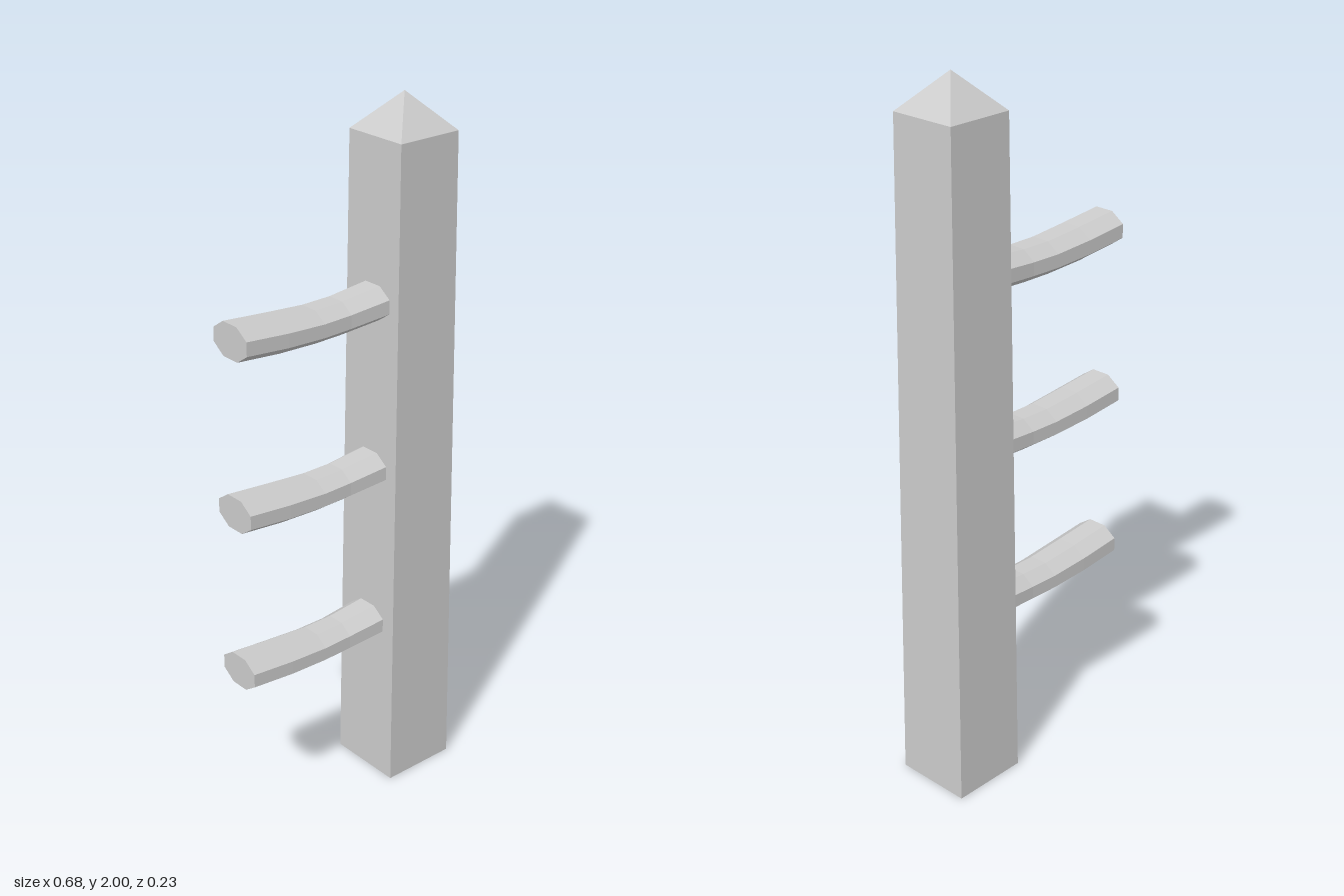
import * as THREE from 'three';

const POST_X = 0.227;

// Lofted eight-sided rail: each station is [x, centre height, half height, half depth]
function railGeometry(stations) {
  const sides = 8, pos = [], idx = [];
  for (const [x, y, h, d] of stations) {
    for (let i = 0; i < sides; i++) {
      const a = ((i + 0.5) / sides) * Math.PI * 2;
      const k = 1 / Math.cos(Math.PI / sides);
      pos.push(x, y + Math.sin(a) * h * k, Math.cos(a) * d * k);
    }
  }
  for (let s = 0; s < stations.length - 1; s++) {
    for (let i = 0; i < sides; i++) {
      const a = s * sides + i, b = s * sides + ((i + 1) % sides);
      idx.push(a, a + sides, b, b, a + sides, b + sides);
    }
  }
  // End caps
  const last = (stations.length - 1) * sides;
  for (let i = 1; i < sides - 1; i++) {
    idx.push(0, i, i + 1, last, last + i + 1, last + i);
  }
  const g = new THREE.BufferGeometry();
  g.setAttribute('position', new THREE.Float32BufferAttribute(pos, 3));
  g.setIndex(idx);
  const flat = g.toNonIndexed();
  flat.computeVertexNormals();
  return flat;
}

// Square frustum from half widths at bottom and top
function squareGeometry(bottom, top, height, open) {
  const g = new THREE.CylinderGeometry(top * Math.SQRT2, bottom * Math.SQRT2, height, 4, 1, open);
  g.rotateY(Math.PI / 4);
  g.translate(POST_X, height / 2, 0);
  const flat = g.toNonIndexed();
  flat.computeVertexNormals();
  return flat;
}

export function createModel() {
  const group = new THREE.Group();
  const wood = new THREE.MeshStandardMaterial({ color: 0xcccccc });
  wood.name = 'pale grey wood';
  wood.flatShading = true;

  const add = (name, geometry, y = 0) => {
    const mesh = new THREE.Mesh(geometry, wood);
    mesh.name = name;
    mesh.position.y = y;
    group.add(mesh);
  };

  // Tapered post and its pointed top
  add('post', squareGeometry(0.113, 0.098, 1.9, false));
  add('postPoint', squareGeometry(0.098, 0, 0.1, true), 1.9);

  // Three sagging rails on the right side of the post
  const rail = railGeometry([
    [-0.342, 0.01, 0.047, 0.067],
    [-0.21, -0.002, 0.047, 0.067],
    [-0.09, -0.009, 0.045, 0.064],
    [0, -0.008, 0.045, 0.062],
    [0.13, 0.002, 0.047, 0.067],
  ]);
  [0.5, 0.98, 1.46].forEach((y, i) => add(['lowerRail', 'middleRail', 'upperRail'][i], rail, y));

  return group;
}
